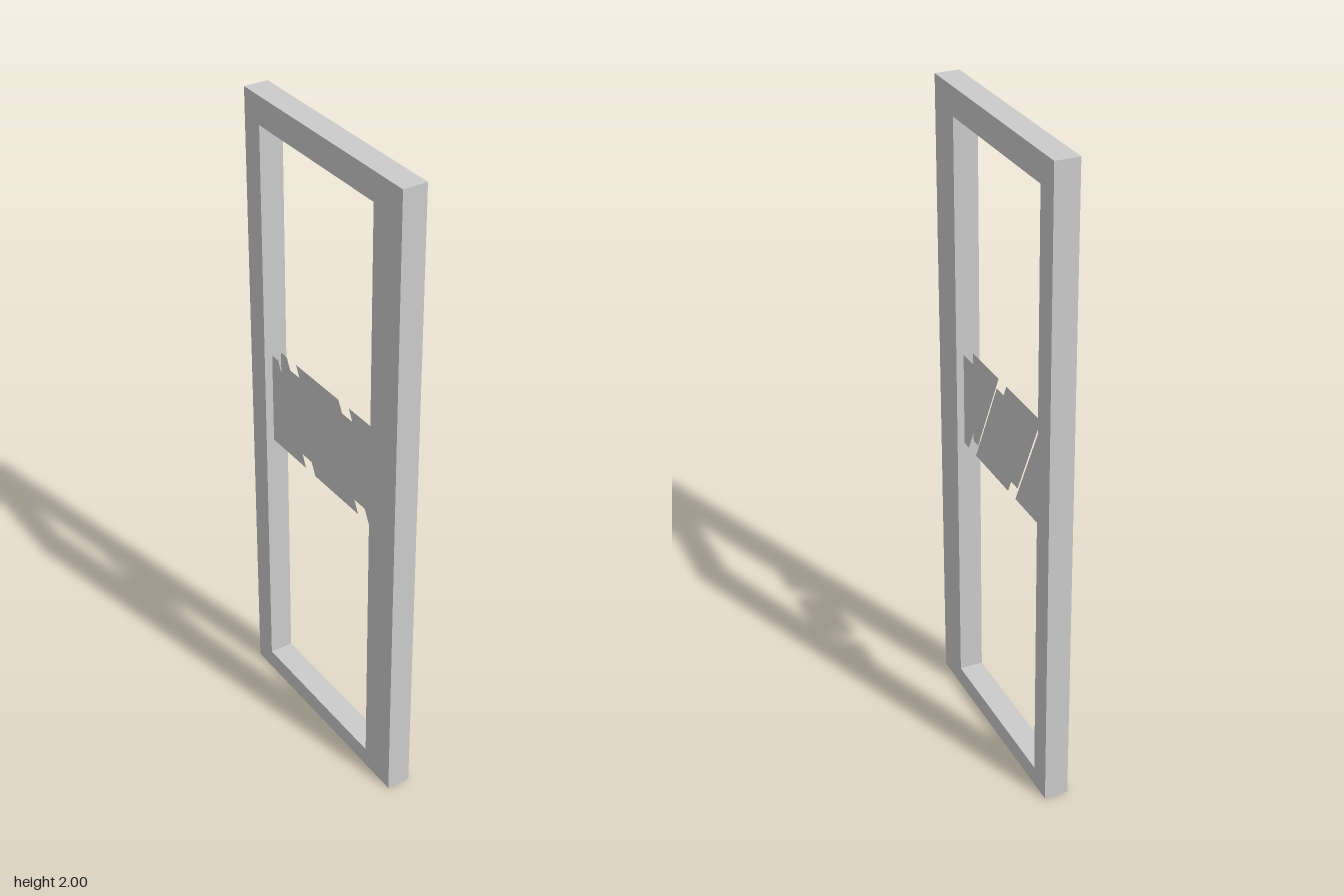
import * as THREE from 'three';

// Outline from [z, y] points; the shape is later turned so that it faces +x
function outline(points, Type = THREE.Shape) {
  return new Type(points.map(([z, y]) => new THREE.Vector2(-z, y)));
}

const rectangle = (z0, z1, y0, y1) => [[z0, y0], [z1, y0], [z1, y1], [z0, y1]];

export function createModel() {
  const group = new THREE.Group();
  group.name = 'framedPanel';
  const frameMaterial = new THREE.MeshStandardMaterial({ color: 0xcccccc, flatShading: true });
  const sheetMaterial = new THREE.MeshStandardMaterial({ color: 0xcccccc, side: THREE.DoubleSide });

  // Upright frame with one wide stile, one narrow stile and a tall opening
  const depth = 0.074;
  const frameShape = outline(rectangle(0.37, -0.37, 0, 2));
  frameShape.holes.push(outline(rectangle(0.247, -0.296, 0.062, 1.915), THREE.Path));
  const frameGeometry = new THREE.ExtrudeGeometry(frameShape, { depth, bevelEnabled: false });
  frameGeometry.translate(0, 0, -depth / 2).rotateY(Math.PI / 2);
  const frame = new THREE.Mesh(frameGeometry, frameMaterial);
  frame.name = 'frame';
  group.add(frame);

  // Slanted band across the opening: thin sheets, one set on each side
  const bottom = 0.892, top = 1.187;
  const bands = [
    // name, bottom z start/end, top z start/end
    ['frontBand', 0.245, 0.213, 0.245, 0.066],
    ['middleBand', 0.161, -0.062, 0.014, -0.208],
    ['rearBand', -0.111, -0.29, -0.258, -0.29],
  ];
  for (const [name, b0, b1, t0, t1] of bands) {
    const shape = outline([[b0, bottom], [b1, bottom], [t1, top], [t0, top]]);
    for (const side of [1, -1]) {
      const geometry = new THREE.ShapeGeometry(shape).rotateY(Math.PI / 2);
      if (side < 0) {
        // Turn the far sheet outward by reversing its winding and normals
        geometry.index.array.reverse();
        geometry.computeVertexNormals();
      }
      const sheet = new THREE.Mesh(geometry, sheetMaterial);
      sheet.name = name + (side > 0 ? 'Left' : 'Right');
      sheet.position.x = side * 0.015;
      group.add(sheet);
    }
  }
  return group;
}
